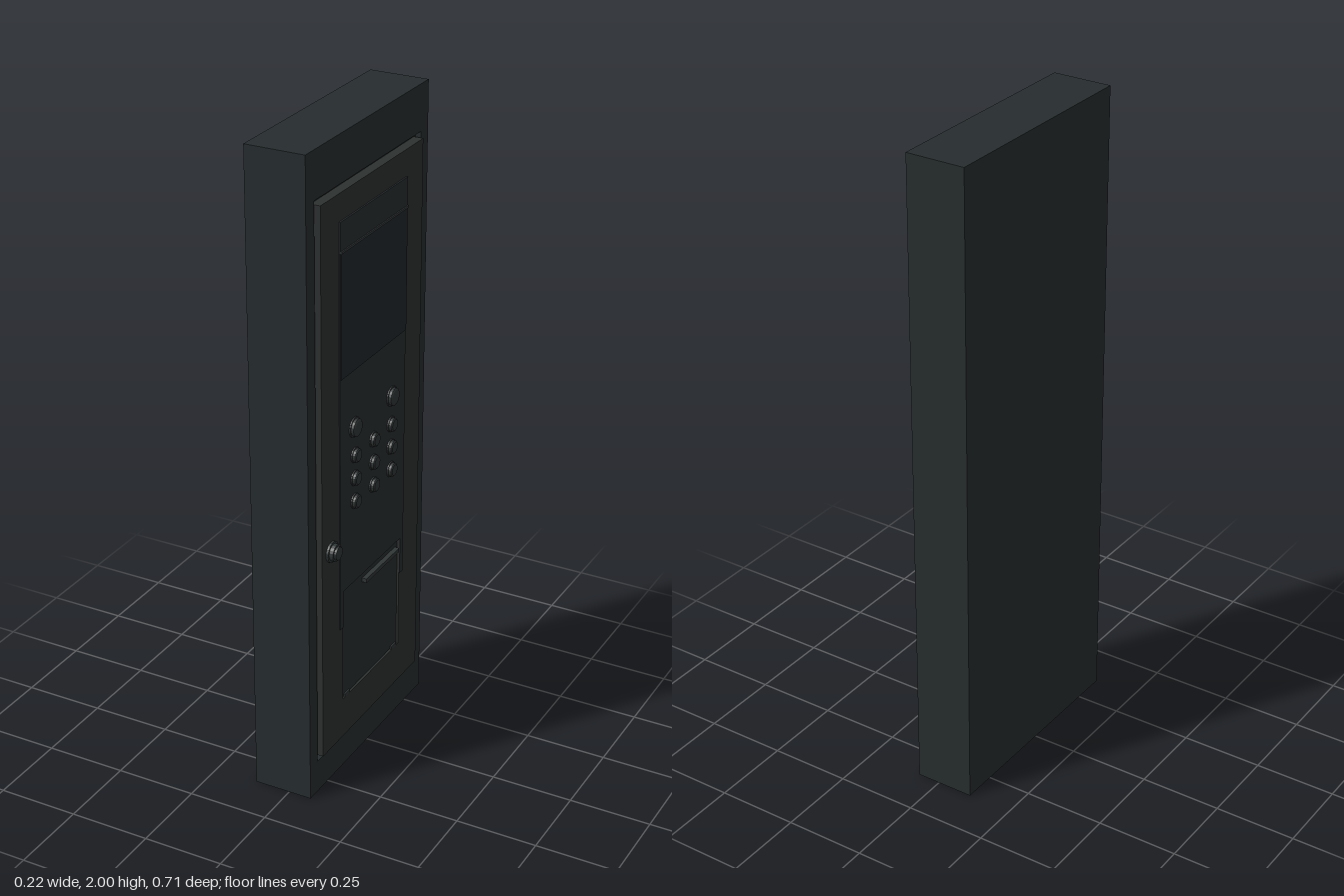
import * as THREE from 'three';

const mat = (color) => new THREE.MeshStandardMaterial({ color });
const M = {
  body: mat(0x262c2e), door: mat(0x2d3130), panel: mat(0x272c2f),
  screen: mat(0x20262b), metal: mat(0x303536),
};

export function createModel() {
  const root = new THREE.Group();

  const add = (name, geo, material, parent = root) => {
    const mesh = new THREE.Mesh(geo, material);
    mesh.name = name;
    parent.add(mesh);
    return mesh;
  };

  // Box given by its limits on each axis
  const box = (name, x0, x1, y0, y1, z0, z1, material, parent) => {
    const m = add(name, new THREE.BoxGeometry(x1 - x0, y1 - y0, z1 - z0), material, parent);
    m.position.set((x0 + x1) / 2, (y0 + y1) / 2, (z0 + z1) / 2);
    return m;
  };

  // Outline in (-z, y), extruded along x from x0 to x1
  const outline = (Type, points) => new Type(points.map(([u, v]) => new THREE.Vector2(u, v)));
  const rect = (u, v0, v1) => [[-u, v0], [u, v0], [u, v1], [-u, v1]];
  const plate = (name, points, holes, x0, x1, material) => {
    const shape = outline(THREE.Shape, points);
    holes.forEach((h) => shape.holes.push(outline(THREE.Path, h)));
    const geo = new THREE.ExtrudeGeometry(shape, { depth: x1 - x0, bevelEnabled: false });
    geo.rotateY(Math.PI / 2);
    return add(name, geo, material).translateX(x0);
  };

  // Stepped round part pointing along +x, profile as [radius, x]
  const knob = (name, profile, y, z, material, parent) => {
    const geo = new THREE.LatheGeometry(profile.map(([r, x]) => new THREE.Vector2(r, x)), 20)
      .toNonIndexed();
    geo.computeVertexNormals();
    geo.rotateZ(-Math.PI / 2);
    const m = add(name, geo, material, parent);
    m.position.set(0, y, z);
    return m;
  };

  // Cabinet with a shallow recess around the door
  box('cabinet', -0.112, 0.055, 0, 2, -0.355, 0.355, M.body);
  plate('cabinetFrame', rect(0.355, 0, 2), [rect(0.31, 0.105, 1.86)], 0.055, 0.072, M.body);

  // Door with an opening for the flap
  const flapHole = rect(0.178, 0.25, 0.62);
  plate('door', rect(0.3, 0.12, 1.845), [flapHole], 0.055, 0.085, M.door);

  // Control panel, notched around the flap
  plate('controlPanel', [
    [-0.198, 0.5], [-0.178, 0.5], [-0.178, 0.62], [0.178, 0.62],
    [0.178, 0.5], [0.198, 0.5], [0.198, 1.765], [-0.198, 1.765],
  ], [], 0.085, 0.088, M.panel);

  // Display and header strip
  box('headerStrip', 0.088, 0.09, 1.68, 1.765, -0.198, 0.198, M.panel);
  box('display', 0.088, 0.091, 1.3, 1.675, -0.196, 0.196, M.screen);
  box('displayLedge', 0.088, 0.094, 1.674, 1.681, -0.198, 0.198, M.metal);

  // Recessed flap with its grip bar and pivots
  box('flap', 0.056, 0.08, 0.253, 0.616, -0.175, 0.175, M.panel);
  box('flapGrip', 0.08, 0.095, 0.584, 0.597, -0.16, 0.05, M.metal);
  for (const z of [-0.15, 0.15]) {
    box('flapPivot', 0.08, 0.085, 0.25, 0.26, z - 0.015, z + 0.015, M.metal);
  }

  // Keypad
  const keypad = new THREE.Group();
  keypad.name = 'keypad';
  root.add(keypad);
  const button = (r, y, z) => knob('button', [
    [r, 0.086], [r, 0.092], [r * 0.86, 0.092], [r * 0.86, 0.1], [r * 0.7, 0.103], [0, 0.103],
  ], y, z, M.metal, keypad);
  for (const z of [-0.113, 0.115]) button(0.031, 1.122, z);
  for (const y of [1.033, 0.96, 0.886]) {
    for (const z of [-0.11, 0, 0.112]) button(0.024, y, z);
  }

  // Door lock
  knob('lock', [
    [0.032, 0.084], [0.032, 0.092], [0.026, 0.092], [0.026, 0.104],
    [0.02, 0.104], [0.02, 0.111], [0, 0.111],
  ], 0.785, 0.246, M.metal);

  // Hinges, three knuckles each
  for (const y of [1.665, 0.255]) {
    const hinge = new THREE.Group();
    hinge.name = 'hinge';
    hinge.position.set(0.072, y, -0.307);
    root.add(hinge);
    for (const k of [-1, 0, 1]) {
      add('hingeKnuckle', new THREE.CylinderGeometry(0.008, 0.008, 0.034, 12), M.metal, hinge)
        .position.y = k * 0.037;
    }
  }

  return root;
}
